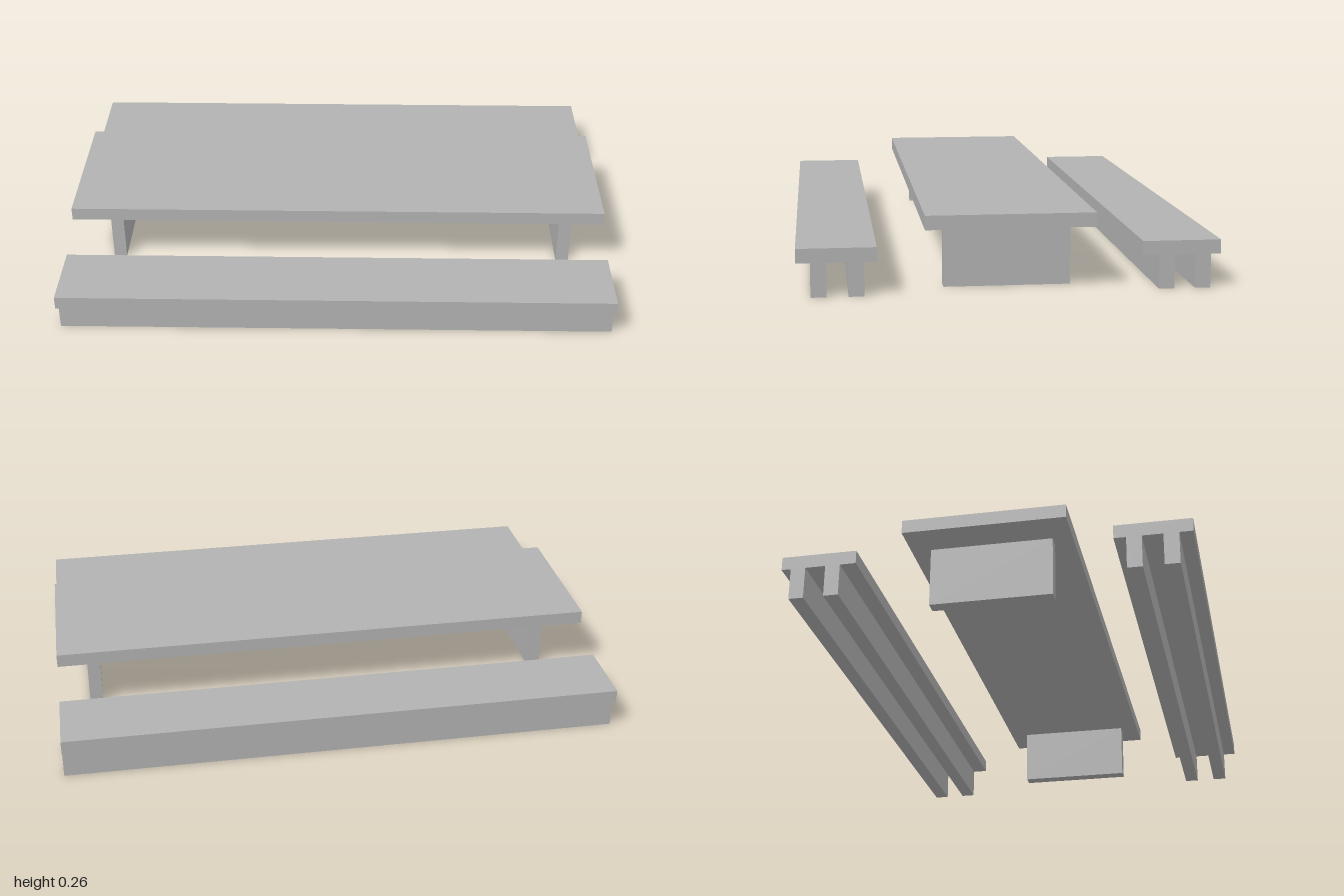
import * as THREE from 'three';

export function createModel() {
  const model = new THREE.Group();
  model.name = 'picnicTable';
  const grey = new THREE.MeshStandardMaterial({ color: 0xb2b2b2 });
  grey.name = 'plain grey';

  // Box given by its extents along each axis
  function slab(name, parent, [x0, x1], [y0, y1], [z0, z1]) {
    const mesh = new THREE.Mesh(new THREE.BoxGeometry(x1 - x0, y1 - y0, z1 - z0), grey);
    mesh.position.set((x0 + x1) / 2, (y0 + y1) / 2, (z0 + z1) / 2);
    mesh.name = name;
    parent.add(mesh);
  }

  const full = [-1, 1];

  // Table: top on two end panels
  const table = new THREE.Group();
  table.name = 'table';
  slab('tableTop', table, full, [0.215, 0.263], [-0.284, 0.284]);
  slab('rightPanel', table, [-0.869, -0.821], [0, 0.215], [-0.215, 0.215]);
  slab('leftPanel', table, [0.845, 0.893], [0, 0.215], [-0.215, 0.215]);
  model.add(table);

  // Benches: seat on two full-length rails
  const benches = [
    { name: 'frontBench', z: 0.573, rails: [0.509, 0.632] },
    { name: 'backBench', z: -0.573, rails: [-0.523, -0.646] },
  ];
  for (const { name, z, rails } of benches) {
    const bench = new THREE.Group();
    bench.name = name;
    slab('seat', bench, full, [0.115, 0.163], [z - 0.132, z + 0.132]);
    for (const r of rails) slab('rail', bench, full, [0, 0.115], [r - 0.026, r + 0.026]);
    model.add(bench);
  }
  return model;
}
